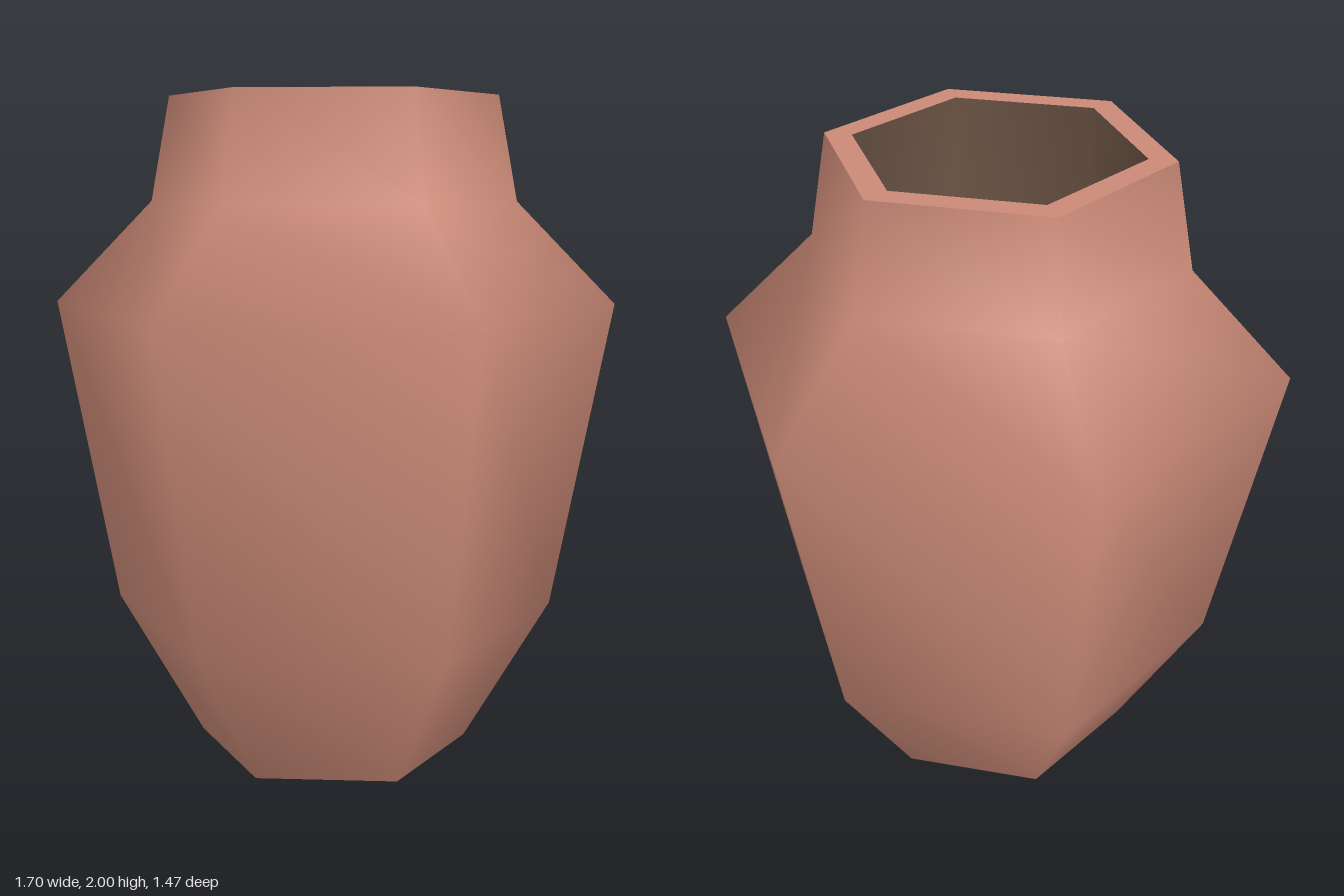
import * as THREE from 'three';

const SIDES = 6;

export function createModel() {
  const group = new THREE.Group();
  group.name = 'vase';

  const clay = new THREE.MeshStandardMaterial({ color: 0xcb8a77 });
  clay.name = 'terracotta';
  const inside = new THREE.MeshStandardMaterial({ color: 0x6a5243 });
  inside.name = 'dark brown';

  // Hexagonal turned surface with corners on the x axis
  function turned(name, profile, material) {
    const points = profile.map(([r, y]) => new THREE.Vector2(r, y));
    const mesh = new THREE.Mesh(new THREE.LatheGeometry(points, SIDES, Math.PI / 2), material);
    mesh.name = name;
    group.add(mesh);
  }

  // Outer wall: foot, belly, shoulder, neck
  turned('body', [[0.42, 0], [0.68, 0.445], [0.85, 1.385], [0.55, 1.69], [0.49, 2]], clay);

  // Flat base and lip, kept separate for sharp edges
  turned('base', [[0, 0], [0.42, 0]], clay);
  turned('rim', [[0.49, 2], [0.41, 2]], clay);

  // Hollow with a softly shaded floor
  turned('interior', [[0.41, 2], [0.41, 0.4], [0, 0.4]], inside);

  return group;
}
